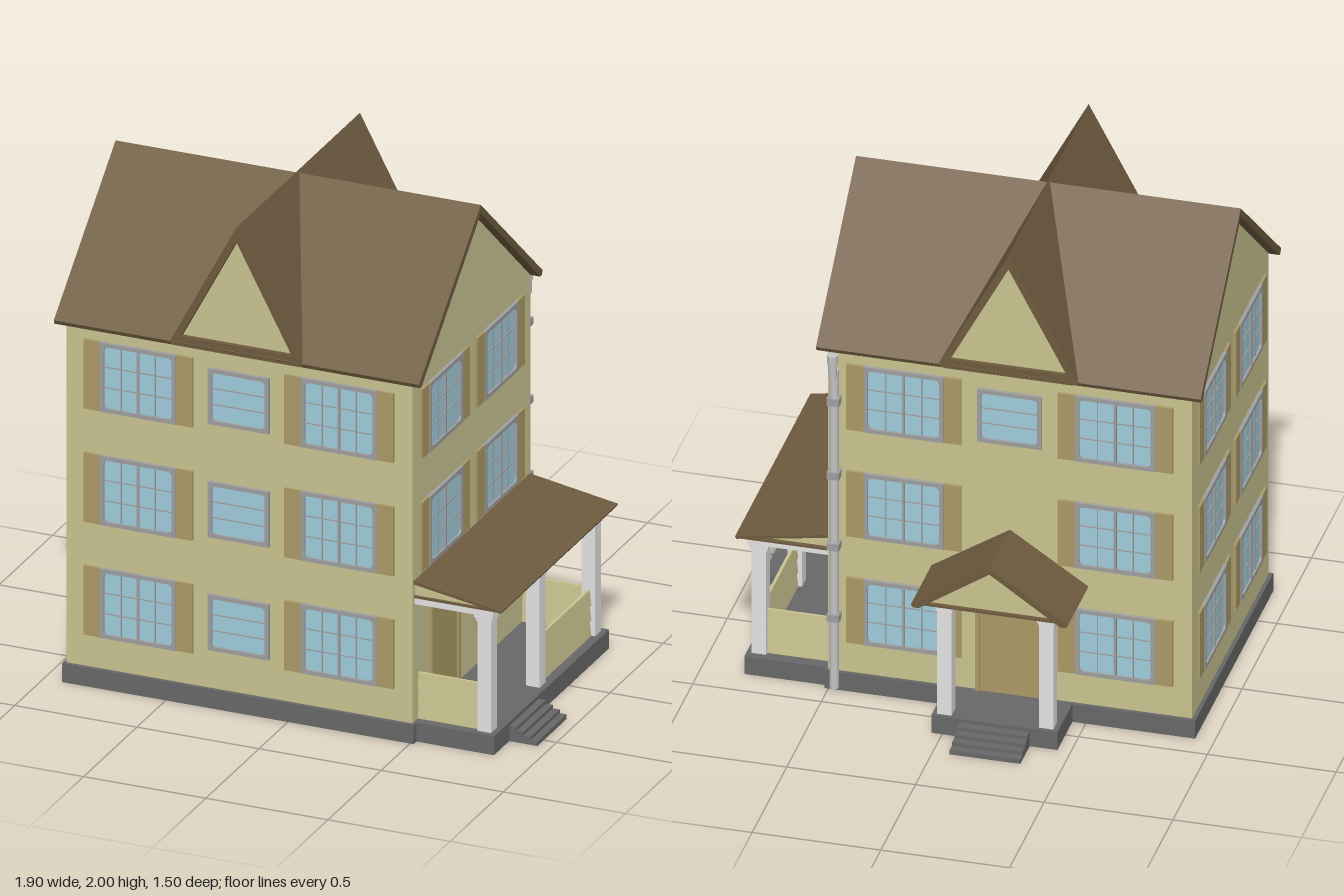
import * as THREE from 'three';

const mat = (name, color, side = THREE.FrontSide) => {
  const m = new THREE.MeshStandardMaterial({ color, side });
  m.name = name;
  return m;
};

export function createModel() {
  const house = new THREE.Group();
  house.name = 'house';
  const M = {
    wall: mat('wall cream', 0xcac491),
    roof: mat('roof brown', 0x6e5b3f),
    stone: mat('foundation grey', 0x686868, THREE.DoubleSide),
    white: mat('column white', 0xe4e4e4),
    trim: mat('window frame grey', 0x9f9f9f),
    glass: mat('glass blue', 0xa0cddd),
    wood: mat('shutter tan', 0xab9a66),
    metal: mat('pipe grey', 0xc4c4c4),
  };

  const add = (parent, name, geo, material) => {
    const m = new THREE.Mesh(geo, material);
    m.name = name;
    parent.add(m);
    return m;
  };
  // Box given by its minimum and maximum on each axis
  const box = (parent, name, material, x0, x1, y0, y1, z0, z1) => {
    const m = add(parent, name, new THREE.BoxGeometry(x1 - x0, y1 - y0, z1 - z0), material);
    m.position.set((x0 + x1) / 2, (y0 + y1) / 2, (z0 + z1) / 2);
    return m;
  };
  const toShape = pts => new THREE.Shape(pts.map(p => new THREE.Vector2(p[0], p[1])));
  // Profile in (x, y) run along z, or in (z, y) run along x
  const prism = (parent, name, material, pts, axis, from, to) => {
    const geo = new THREE.ExtrudeGeometry(toShape(pts), { depth: to - from, bevelEnabled: false });
    if (axis === 'x') geo.rotateY(-Math.PI / 2).translate(to, 0, 0);
    else geo.translate(0, 0, from);
    return add(parent, name, geo, material);
  };
  // Inverted V profile of a pitched roof
  const chevron = (c, half, eave, ridge, innerHalf, innerEave, innerRidge) => [
    [c - half, eave], [c - half + 0.008, innerEave], [c - innerHalf, innerEave], [c, innerRidge],
    [c + innerHalf, innerEave], [c + half - 0.008, innerEave], [c + half, eave], [c, ridge]];
  const roundedRect = (path, w, h, r) => {
    const x = w / 2, y = h / 2;
    path.moveTo(-x + r, -y);
    path.lineTo(x - r, -y); path.quadraticCurveTo(x, -y, x, -y + r);
    path.lineTo(x, y - r); path.quadraticCurveTo(x, y, x - r, y);
    path.lineTo(-x + r, y); path.quadraticCurveTo(-x, y, -x, y - r);
    path.lineTo(-x, -y + r); path.quadraticCurveTo(-x, -y, -x + r, -y);
    return path;
  };

  const CX = -0.203, CZ = 0.168;
  const FLOOR = 0.077, BASE = 0.079;

  // Foundation of house and porches: one outline in (x, z), open underneath
  const slab = new THREE.ExtrudeGeometry(toShape([
    [-0.925, -0.4], [CX - 0.245, -0.4], [CX - 0.245, -0.615], [CX + 0.245, -0.615], [CX + 0.245, -0.4],
    [0.515, -0.4], [0.515, -0.378], [0.832, -0.378], [0.832, 0.703], [0.515, 0.703], [0.515, 0.73], [-0.925, 0.73],
  ]), { depth: FLOOR, bevelEnabled: false });
  slab.rotateX(Math.PI / 2).translate(0, FLOOR, 0);
  const lids = slab.groups[0].count;
  slab.setIndex([...Array(slab.attributes.position.count).keys()].filter(i => i < lids / 2 || i >= lids));
  slab.clearGroups();
  add(house, 'foundation', slab, M.stone);

  // Main walls with side gables
  prism(house, 'walls', M.wall,
    [[-0.388, BASE], [0.718, BASE], [0.718, 1.482], [CZ, 1.96], [-0.388, 1.482]], 'x', -0.91, 0.505);

  // Main roof and the crossing gable roof
  prism(house, 'mainRoof', M.roof, chevron(CZ, 0.58, 1.487, 1.99, 0.556, 1.47, 1.955), 'x', -0.95, 0.545);
  prism(house, 'crossRoof', M.roof, chevron(CX, 0.272, 1.487, 2, 0.247, 1.475, 1.94), 'z', -0.412, 0.747);
  prism(house, 'crossGable', M.wall, [[CX - 0.25, 1.48], [CX + 0.25, 1.48], [CX, 1.95]], 'z', -0.395, 0.727);
  for (const z of [-0.411, 0.727])
    box(house, 'gableSill', M.roof, CX - 0.25, CX + 0.25, 1.472, 1.513, z, z + 0.019);

  // Windows: frame with rounded opening, glass, bars, optional shutters
  const frameGeo = (w, h, t) => {
    const s = toShape([[-w / 2, -h / 2], [w / 2, -h / 2], [w / 2, h / 2], [-w / 2, h / 2]]);
    s.holes.push(roundedRect(new THREE.Path(), w - 2 * t, h - 2 * t, 0.02));
    return new THREE.ExtrudeGeometry(s, { depth: 0.014, bevelEnabled: false, curveSegments: 4 });
  };
  const kinds = {};
  for (const [key, w, h] of [['wide', 0.31, 0.284], ['small', 0.25, 0.228]])
    kinds[key] = { w, h, frame: frameGeo(w, h, 0.016),
      glass: new THREE.ShapeGeometry(roundedRect(new THREE.Shape(), w - 0.03, h - 0.03, 0.02), 4) };
  const addWindow = (kind, x, y, z, turn) => {
    const { w, h, frame, glass } = kinds[kind];
    const bx = w / 2 - 0.016, by = h / 2 - 0.016;
    const g = new THREE.Group();
    g.name = kind + 'Window';
    add(g, 'frame', frame, M.trim);
    add(g, 'glass', glass, M.glass).position.z = 0.005;
    for (const s of [-1, 1])
      box(g, 'horizontalBar', M.trim, -bx, bx, s * by / 3 - 0.002, s * by / 3 + 0.002, 0.003, 0.009);
    if (kind === 'wide') {
      box(g, 'centrePost', M.trim, -0.005, 0.005, -by, by, 0, 0.013);
      for (const s of [-1, 1]) {
        box(g, 'verticalBar', M.trim, s * bx / 2 - 0.002, s * bx / 2 + 0.002, -by, by, 0.003, 0.009);
        const sx = s * (w / 2 + 0.034);
        box(g, 'shutter', M.wood, sx - 0.034, sx + 0.034, -h / 2, h / 2, 0, 0.011);
      }
    }
    g.position.set(x, y, z);
    g.rotation.y = turn;
    house.add(g);
  };
  [0.352, 0.815, 1.28].forEach((y, i) => {
    for (const dx of [-0.411, 0.411]) {
      addWindow('wide', CX + dx, y, 0.718, 0);
      addWindow('wide', CX + dx, y, -0.388, Math.PI);
    }
    addWindow('small', CX, y, 0.718, 0);
    if (i === 2) addWindow('small', CX, y, -0.388, Math.PI);
    for (const z of [0.428, -0.092]) {
      addWindow('wide', -0.91, y, z, -Math.PI / 2);
      if (i > 0 || z < 0) addWindow('wide', 0.505, y, z, Math.PI / 2);
    }
  });

  // Doors
  const addDoor = (x, z, turn) => {
    const g = new THREE.Group();
    g.name = 'door';
    box(g, 'doorLeaf', M.wood, -0.115, 0.115, BASE, 0.48, 0, 0.006);
    box(g, 'doorHead', M.wood, -0.133, 0.133, 0.48, 0.5, 0, 0.014);
    for (const s of [-0.124, 0.124]) box(g, 'doorJamb', M.wood, s - 0.009, s + 0.009, BASE, 0.48, 0, 0.014);
    g.position.set(x, 0, z);
    g.rotation.y = turn;
    house.add(g);
  };
  addDoor(0.505, 0.428, Math.PI / 2);
  addDoor(CX, -0.388, Math.PI);

  const addColumn = (x, z) => {
    const g = new THREE.Group();
    g.name = 'column';
    box(g, 'shaft', M.white, -0.028, 0.028, BASE, 0.535, -0.028, 0.028);
    box(g, 'capitalLower', M.white, -0.032, 0.032, 0.53, 0.545, -0.032, 0.032);
    box(g, 'capitalUpper', M.white, -0.037, 0.037, 0.545, 0.562, -0.037, 0.037);
    g.position.set(x, 0, z);
    house.add(g);
  };

  // Side porch
  for (const z of [0.655, 0.198, -0.322]) addColumn(0.783, z);
  box(house, 'sidePorchBeam', M.white, 0.505, 0.825, 0.56, 0.589, -0.365, 0.697);
  box(house, 'sidePorchEave', M.roof, 0.505, 0.855, 0.587, 0.595, -0.378, 0.703);
  prism(house, 'sidePorchGable', M.wall, [[0.505, 0.594], [0.82, 0.594], [0.82, 0.598], [0.505, 0.648]], 'z', -0.36, 0.692);
  prism(house, 'sidePorchRoof', M.roof, [[0.505, 0.645], [0.862, 0.587], [0.867, 0.597], [0.505, 0.658]], 'z', -0.383, 0.708);
  // Lapped plank railings on both ends and beside the door
  for (let i = 0; i < 3; i++) {
    const y0 = BASE + i * 0.062, y1 = y0 + 0.062;
    const plank = c => [[c - 0.013, y0], [c + 0.013, y0], [c + 0.006, y1], [c - 0.006, y1]];
    for (const z of [0.655, -0.322]) prism(house, 'endRailing', M.wall, plank(z), 'x', 0.505, 0.76);
    prism(house, 'sideRailing', M.wall, plank(0.783), 'z', -0.3, 0.175);
  }

  // Back porch
  for (const s of [-0.198, 0.198]) addColumn(CX + s, -0.575);
  box(house, 'backPorchBeam', M.white, CX - 0.245, CX + 0.245, 0.56, 0.585, -0.62, -0.388);
  box(house, 'backPorchEave', M.roof, CX - 0.285, CX + 0.285, 0.58, 0.59, -0.665, -0.388);
  prism(house, 'backPorchGable', M.wall, [[CX - 0.26, 0.589], [CX + 0.26, 0.589], [CX, 0.775]], 'z', -0.65, -0.388);
  prism(house, 'backPorchRoof', M.roof, chevron(CX, 0.305, 0.592, 0.793, 0.275, 0.58, 0.768), 'z', -0.688, -0.388);

  // Steps, each lower one reaching further out
  for (let i = 0; i < 4; i++) {
    const top = 0.062 - i * 0.0145;
    box(house, 'sideStep', M.stone, 0.833, 0.862 + i * 0.0285, 0, top, 0.285, 0.56);
    box(house, 'backStep', M.stone, CX - 0.137, CX + 0.137, 0, top, -0.65 - i * 0.0335, -0.616);
  }

  // Rain pipe with hopper and brackets
  const pipe = new THREE.Group();
  pipe.name = 'rainPipe';
  const round = (name, rTop, rBottom, y0, y1, z) => {
    const m = add(pipe, name, new THREE.CylinderGeometry(rTop, rBottom, y1 - y0, 12), M.metal);
    m.position.set(0.475, (y0 + y1) / 2, z);
  };
  round('pipeShaft', 0.018, 0.018, 0.015, 1.4, -0.408);
  round('hopperNeck', 0.018, 0.016, 1.375, 1.43, -0.43);
  round('hopper', 0.021, 0.02, 1.43, 1.475, -0.432);
  for (const y of [0.325, 0.635, 0.945, 1.265])
    box(pipe, 'bracket', M.trim, 0.451, 0.499, y - 0.015, y + 0.015, -0.432, -0.386);
  house.add(pipe);

  return house;
}
